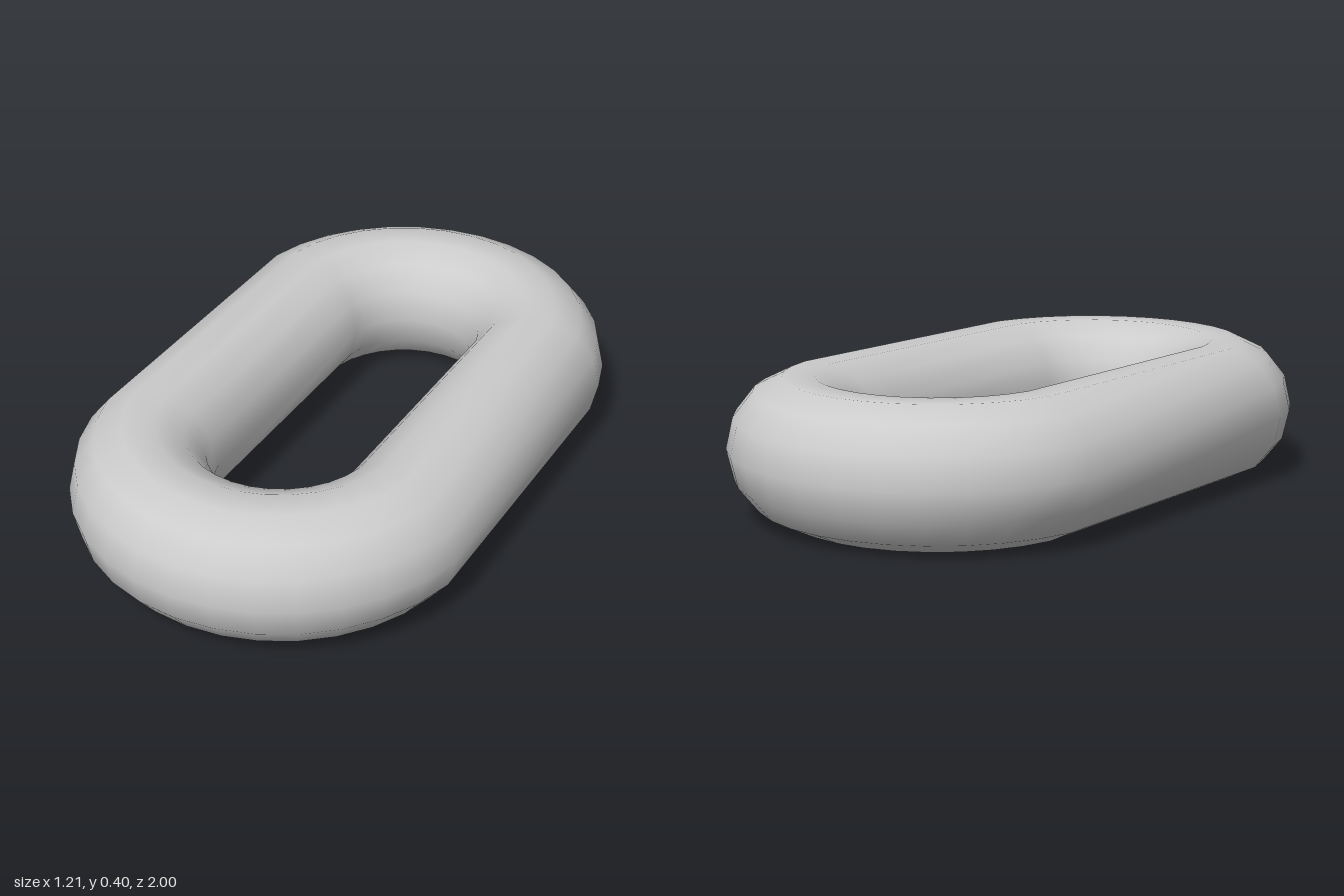
import * as THREE from 'three';

const SIDES = 14;        // sides of the round bar
const BAR = 0.2075;      // bar radius
const BEND = 0.411;      // radius of the bend's centre line
const OFFSET = 0.3815;   // distance of each bend's centre from the middle
const STEP = Math.PI / 16;

// Closed oval tube: rings around both bends, joined by long straight sides
function linkGeometry() {
  const positions = [], normals = [], indices = [];
  const height = BAR * Math.sin(Math.round(SIDES / 4 - 0.01) * 2 * Math.PI / SIDES);
  const mid = Math.max(height, BAR * Math.sin(3 * 2 * Math.PI / SIDES));
  let rings = 0;
  for (const end of [1, -1]) {
    for (let k = 1; k < 16; k++, rings++) {
      const a = k * STEP + (end < 0 ? Math.PI : 0);
      const dx = Math.cos(a), dz = Math.sin(a);
      for (let j = 0; j < SIDES; j++) {
        const p = (j / SIDES) * Math.PI * 2;
        const out = Math.cos(p), up = Math.sin(p);
        positions.push(
          dx * (BEND + BAR * out),
          mid + BAR * up,
          end * OFFSET + dz * (BEND + BAR * out)
        );
        normals.push(dx * out, up, dz * out);
      }
    }
  }
  for (let i = 0; i < rings; i++) {
    const n = (i + 1) % rings;
    for (let j = 0; j < SIDES; j++) {
      const m = (j + 1) % SIDES;
      const a = i * SIDES + j, b = i * SIDES + m;
      const c = n * SIDES + m, d = n * SIDES + j;
      indices.push(a, b, d, b, c, d);
    }
  }
  const geometry = new THREE.BufferGeometry();
  geometry.setAttribute('position', new THREE.Float32BufferAttribute(positions, 3));
  geometry.setAttribute('normal', new THREE.Float32BufferAttribute(normals, 3));
  geometry.setIndex(indices);
  return geometry;
}

export function createModel() {
  const group = new THREE.Group();
  group.name = 'chainLink';
  const link = new THREE.Mesh(
    linkGeometry(),
    new THREE.MeshStandardMaterial({ color: 0xcccccc })
  );
  link.name = 'link';
  group.add(link);
  return group;
}
